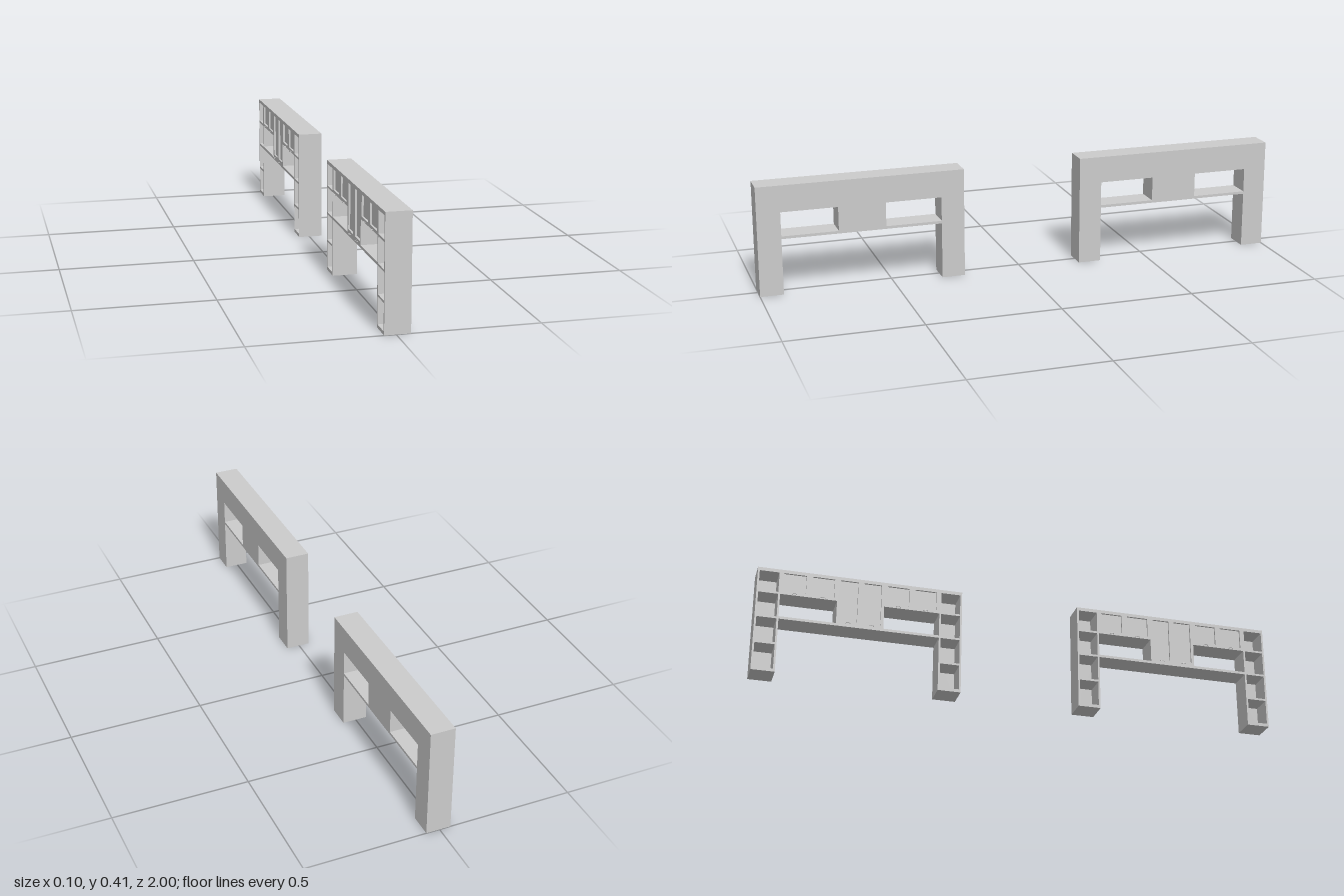
import * as THREE from 'three';

const material = new THREE.MeshStandardMaterial({ color: 0xcccccc, flatShading: true });

// Main sizes; each cabinet wall is drawn in (z, y) about its own middle
const HALF = 0.386, HEIGHT = 0.413, POST = 0.299, CENTRE = 0.0885;
const SHELF_BOTTOM = 0.212, SHELF_TOP = 0.222, DOOR_BOTTOM = 0.313;
const FACE_X = -0.041, INNER_X = 0.041, BACK_X = 0.05;

// Rectangular opening as [z0, y0, z1, y1]
function rectPath([z0, y0, z1, y1]) {
  return new THREE.Path([
    new THREE.Vector2(z0, y0), new THREE.Vector2(z0, y1),
    new THREE.Vector2(z1, y1), new THREE.Vector2(z1, y0),
  ]);
}

// Bridge outline with openings, extruded between two x positions
function bridge(name, openings, x0, x1) {
  const outline = [
    [-HALF, 0], [-POST, 0], [-POST, SHELF_BOTTOM], [POST, SHELF_BOTTOM],
    [POST, 0], [HALF, 0], [HALF, HEIGHT], [-HALF, HEIGHT],
  ].map(([z, y]) => new THREE.Vector2(z, y));
  const shape = new THREE.Shape(outline);
  shape.holes = openings.map(rectPath);
  const geometry = new THREE.ExtrudeGeometry(shape, { depth: x1 - x0, bevelEnabled: false });
  geometry.rotateY(-Math.PI / 2).translate(x1, 0, 0);
  const mesh = new THREE.Mesh(geometry, material);
  mesh.name = name;
  return mesh;
}

function createCabinet() {
  const cabinet = new THREE.Group();
  const windows = [], cells = [], doors = [], handles = [];

  for (const side of [-1, 1]) {
    const span = (a, y0, b, y1) => [Math.min(side * a, side * b), y0, Math.max(side * a, side * b), y1];
    windows.push(span(CENTRE, SHELF_TOP, POST, DOOR_BOTTOM));

    // Four open compartments in each post
    const levels = [0.012, 0.116, 0.22, 0.32, 0.408];
    for (let i = 0; i < 4; i++) {
      cells.push(span(POST + 0.007, levels[i], HALF - 0.007, levels[i + 1] - 0.008));
    }

    // One tall door and two short doors on each half
    const middle = (CENTRE + POST) / 2;
    [[0, CENTRE, SHELF_TOP], [CENTRE, middle, DOOR_BOTTOM], [middle, POST, DOOR_BOTTOM]]
      .forEach(([a, b, bottom]) => {
        doors.push(span(a + 0.011, bottom + 0.012, b - 0.011, HEIGHT - 0.013));
        handles.push([side * (a + b) / 2, bottom + 0.004]);
      });
  }

  cabinet.add(bridge('cabinetFrame', [...windows, ...cells, ...doors], FACE_X, INNER_X));
  cabinet.add(bridge('backPanel', windows, INNER_X, BACK_X));

  // Sunken door panels
  const panelX = FACE_X + 0.007;
  for (const [z0, y0, z1, y1] of doors) {
    const panel = new THREE.Mesh(new THREE.BoxGeometry(INNER_X - panelX, y1 - y0, z1 - z0), material);
    panel.position.set((panelX + INNER_X) / 2, (y0 + y1) / 2, (z0 + z1) / 2);
    panel.name = 'doorPanel';
    cabinet.add(panel);
  }

  // Small bow handles, lying flat and curving out of the face
  const bow = new THREE.TorusGeometry(0.008, 0.001, 6, 12, Math.PI);
  bow.rotateX(Math.PI / 2).rotateY(-Math.PI / 2);
  for (const [z, y] of handles) {
    const handle = new THREE.Mesh(bow, material);
    handle.position.set(FACE_X, y, z);
    handle.name = 'doorHandle';
    cabinet.add(handle);
  }
  return cabinet;
}

export function createModel() {
  const model = new THREE.Group();
  model.name = 'bridgeCabinets';
  for (const side of [-1, 1]) {
    const cabinet = createCabinet();
    cabinet.name = side > 0 ? 'frontCabinet' : 'rearCabinet';
    cabinet.position.z = side * 0.614;
    model.add(cabinet);
  }
  return model;
}
